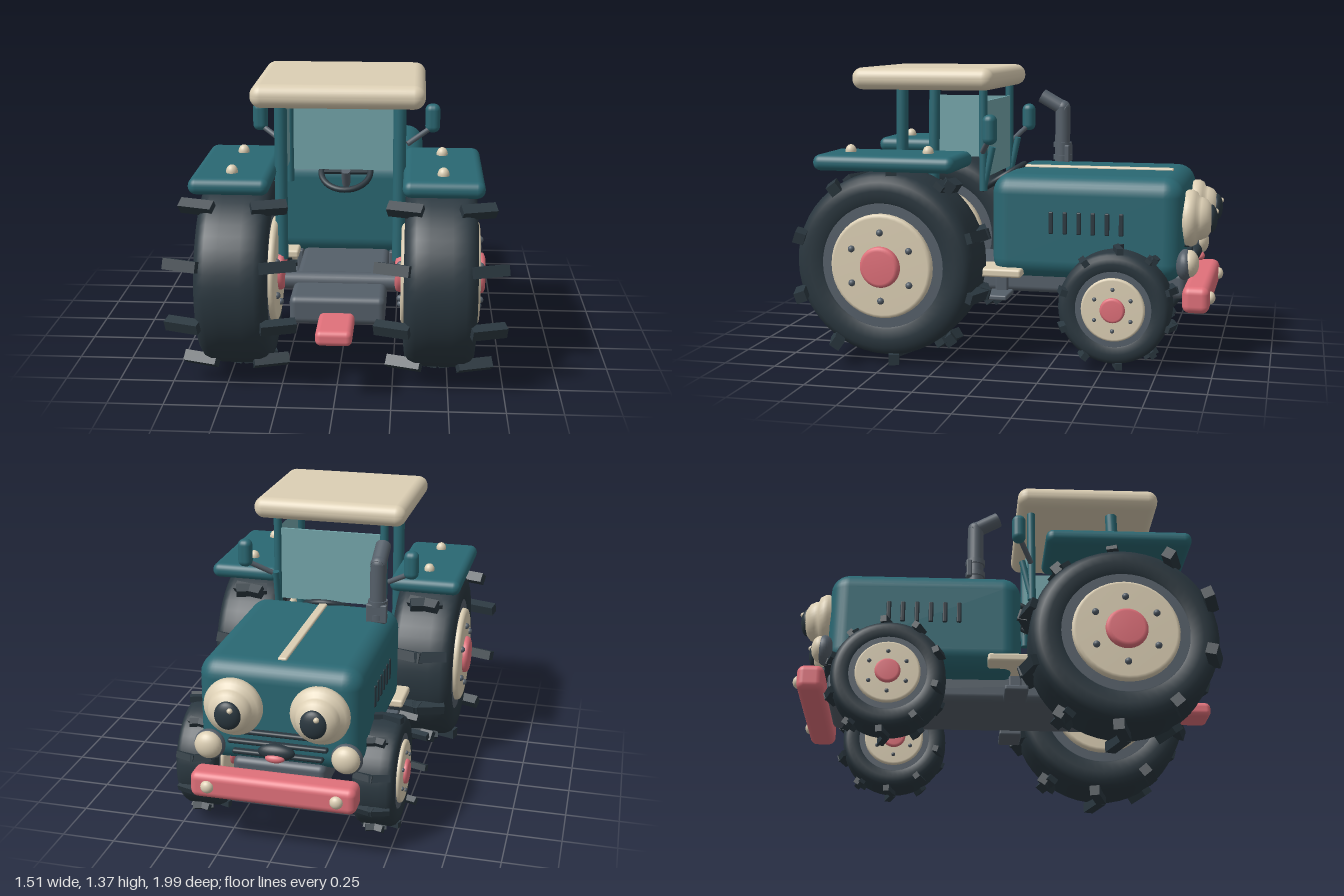
import * as THREE from 'three';
import { RoundedBoxGeometry } from 'three/addons/geometries/RoundedBoxGeometry.js';

const paint = (name, color) => Object.assign(new THREE.MeshStandardMaterial({ color }), { name });

export function createModel() {
  const teal = paint('teal body', 0x2a6873);
  const cream = paint('cream trim', 0xdccfb4);
  const red = paint('coral red', 0xe0707a);
  const rubber = paint('dark rubber', 0x2a373f);
  const slate = paint('slate metal', 0x555f69);
  const glass = paint('window glass', 0x74a6ab);

  const tractor = new THREE.Group();
  tractor.name = 'tractor';

  function add(name, geo, mat, x = 0, y = 0, z = 0, parent = tractor) {
    const m = new THREE.Mesh(geo, mat);
    m.name = name;
    m.position.set(x, y, z);
    parent.add(m);
    return m;
  }
  const rbox = (w, h, d, r) => new RoundedBoxGeometry(w, h, d, 4, r);
  const lathe = (pts, seg = 40) => new THREE.LatheGeometry(pts.map(p => new THREE.Vector2(...p)), seg);
  const ball = (r, sx = 1, sy = 1, sz = 1) => new THREE.SphereGeometry(r, 24, 16).scale(sx, sy, sz);

  // straight round bar between two points
  function rod(name, a, b, r, mat) {
    const p = new THREE.Vector3(...a), q = new THREE.Vector3(...b);
    const m = add(name, new THREE.CylinderGeometry(r, r, p.distanceTo(q), 20), mat);
    m.position.copy(p).add(q).multiplyScalar(0.5);
    m.quaternion.setFromUnitVectors(new THREE.Vector3(0, 1, 0), q.sub(p).normalize());
    return m;
  }

  // drum along x with softly bevelled rims
  const drum = (r, half, bevel) => lathe([
    [0, -half], [r - bevel, -half], [r - bevel * 0.3, -half + bevel * 0.3], [r, -half + bevel],
    [r, half - bevel], [r - bevel * 0.3, half - bevel * 0.3], [r - bevel, half], [0, half],
  ]).rotateZ(Math.PI / 2);

  // full wheel at rear size; front wheels reuse it scaled down
  function wheel(name, x, y, z, scale) {
    const g = new THREE.Group();
    g.name = name;
    g.position.set(x, y, z);
    g.scale.setScalar(scale);
    tractor.add(g);
    const side = [[0.28, 0.14], [0.3, 0.155], [0.35, 0.162], [0.39, 0.157], [0.415, 0.14], [0.43, 0.11], [0.433, 0.05]];
    const profile = [...side.map(([r, w]) => [r, -w]), ...side.slice().reverse()];
    add('tyre', lathe(profile, 48).rotateZ(Math.PI / 2), rubber, 0, 0, 0, g);
    add('rim', drum(0.3, 0.15, 0.01), slate, 0, 0, 0, g);
    add('wheelDisc', drum(0.245, 0.178, 0.018), cream, 0, 0, 0, g);
    add('hub', drum(0.096, 0.206, 0.02), red, 0, 0, 0, g);
    for (const s of [-1, 1]) {
      for (let i = 0; i < 6; i++) {
        const a = Math.PI / 2 + i * Math.PI / 3;
        add('wheelBolt', ball(0.016), slate, s * 0.18, 0.16 * Math.sin(a), 0.16 * Math.cos(a), g);
      }
      // swept tread lugs
      const lugs = new THREE.Group();
      lugs.name = 'treadLugs';
      lugs.rotation.y = s * 0.32;
      g.add(lugs);
      for (let i = 0; i < 10; i++) {
        const a = -Math.PI / 2 + i * Math.PI / 5;
        const lug = add('lug', new THREE.BoxGeometry(0.16, 0.05, 0.05), rubber,
          s * 0.08, 0.445 * Math.sin(a), 0.445 * Math.cos(a), lugs);
        lug.rotation.x = Math.PI / 2 - a;
      }
    }
  }
  for (const s of [-1, 1]) {
    wheel('rearWheel', s * 0.46, 0.47, 0.513, 1);
    wheel('frontWheel', s * 0.415, 0.294, -0.55, 0.6);
  }

  // chassis, axles, hitch and bumper
  add('chassis', rbox(0.43, 0.13, 1.6, 0.03), slate, 0, 0.355, -0.05);
  rod('rearAxle', [-0.4, 0.42, 0.513], [0.4, 0.42, 0.513], 0.04, slate);
  rod('frontAxle', [-0.4, 0.31, -0.55], [0.4, 0.31, -0.55], 0.03, slate);
  add('hitch', rbox(0.16, 0.07, 0.25, 0.025), red, 0, 0.32, 0.87);
  add('bumper', rbox(0.76, 0.125, 0.125, 0.035), red, 0, 0.323, -0.91);

  // bonnet with centre stripe
  add('bonnet', rbox(0.75, 0.49, 0.905, 0.09), teal, 0, 0.635, -0.393);
  add('bonnetStripe', rbox(0.042, 0.02, 0.74, 0.008), cream, 0, 0.88, -0.395);

  // face: grille bars and mouth
  for (let i = 0; i < 3; i++) {
    add('grilleBar', rbox(0.5 - i * 0.04, 0.022, 0.04, 0.01), rubber, 0, 0.56 - i * 0.05, -0.85);
  }
  add('mouth', ball(0.085, 1, 0.45, 0.4), rubber, 0, 0.485, -0.875);
  add('tongue', ball(0.045, 1, 0.45, 0.5), red, 0, 0.466, -0.9);

  const eyeGeo = lathe([[0.12, 0], [0.134, 0.02], [0.134, 0.04], [0.122, 0.062], [0.102, 0.07],
    [0.1, 0.085], [0.088, 0.11], [0.06, 0.13], [0.03, 0.138], [0, 0.14]], 36).rotateX(-Math.PI / 2);

  for (const s of [-1, 1]) {
    // face parts
    add('headlampEye', eyeGeo, cream, s * 0.197, 0.68, -0.835);
    add('pupil', ball(0.06, 1, 1.1, 0.5), rubber, s * 0.192, 0.68, -0.962);
    add('eyeGlint', ball(0.013), cream, s * 0.192 - 0.018, 0.712, -0.983);
    add('sideLampRim', ball(0.072, 1, 1, 0.6), slate, s * 0.315, 0.48, -0.855);
    add('sideLamp', ball(0.064, 1, 1, 0.7), cream, s * 0.315, 0.485, -0.875);
    add('bumperBolt', ball(0.03, 1, 1, 0.8), cream, s * 0.295, 0.325, -0.972);

    // bonnet louvres
    for (let i = 0; i < 6; i++) {
      add('louvre', rbox(0.014, 0.105, 0.022, 0.006), rubber, s * 0.375, 0.662, -0.235 - i * 0.066);
    }

    // mudguards
    add('mudguard', rbox(0.355, 0.075, 0.68, 0.036), teal, s * 0.465, 0.945, 0.5);
    for (const z of [0.33, 0.71]) add('mudguardBolt', ball(0.026, 1, 1.2, 1), cream, s * 0.463, 0.987, z);

    // steps
    add('footboard', rbox(0.19, 0.04, 0.25, 0.012), cream, s * 0.325, 0.42, 0.025);
    add('lowerStep', rbox(0.16, 0.025, 0.11, 0.008), slate, s * 0.29, 0.29, 0.035);
    add('stepBracket', rbox(0.03, 0.13, 0.06, 0.008), slate, s * 0.23, 0.35, 0.035);

    // cab posts
    rod('rearPost', [s * 0.268, 0.53, 0.53], [s * 0.268, 1.3, 0.515], 0.029, teal);
    rod('frontPost', [s * 0.27, 0.79, 0.115], [s * 0.27, 1.3, 0.115], 0.02, teal);
    rod('postFoot', [s * 0.27, 0.8, 0.115], [s * 0.27, 1.0, 0.07], 0.016, teal);

    // mirrors
    rod('mirrorArm', [s * 0.3, 0.98, 0.11], [s * 0.415, 1.05, 0.05], 0.013, slate);
    add('mirror', rbox(0.072, 0.14, 0.065, 0.03), teal, s * 0.42, 1.095, 0.045);

    // side windows, seen from inside the cab
    const pane = add('sideWindow', new THREE.PlaneGeometry(0.37, 0.32), glass, s * 0.268, 1.055, 0.31);
    pane.rotation.y = -s * Math.PI / 2;
  }

  // cab
  add('roof', rbox(0.762, 0.105, 0.697, 0.05), cream, 0, 1.322, 0.395);
  add('windscreen', new THREE.BoxGeometry(0.52, 0.365, 0.012), glass, 0, 1.033, 0.115);

  // steering
  const tilt = Math.atan2(0.135, 0.22);
  const ring = add('steeringWheel', new THREE.TorusGeometry(0.12, 0.015, 12, 36), rubber, 0, 0.828, 0.08);
  ring.rotation.x = -Math.PI / 2 + tilt;
  const spoke = add('steeringSpoke', new THREE.BoxGeometry(0.23, 0.02, 0.014), rubber, 0, 0.828, 0.08);
  spoke.rotation.x = ring.rotation.x;
  rod('steeringColumn', [0, 0.515, -0.08], [0, 0.835, 0.085], 0.022, slate);

  // exhaust
  rod('exhaustPipe', [-0.3, 0.82, -0.16], [-0.3, 1.16, -0.16], 0.039, slate);
  rod('exhaustTip', [-0.3, 1.145, -0.175], [-0.3, 1.215, -0.052], 0.037, slate);
  add('exhaustElbow', ball(0.039), slate, -0.3, 1.155, -0.16);
  for (const y of [0.9, 0.965]) add('exhaustClamp', new THREE.CylinderGeometry(0.047, 0.047, 0.025, 24), slate, -0.3, y, -0.16);
  add('exhaustBracket', rbox(0.1, 0.09, 0.025, 0.006), slate, -0.3, 0.92, -0.19);

  return tractor;
}
